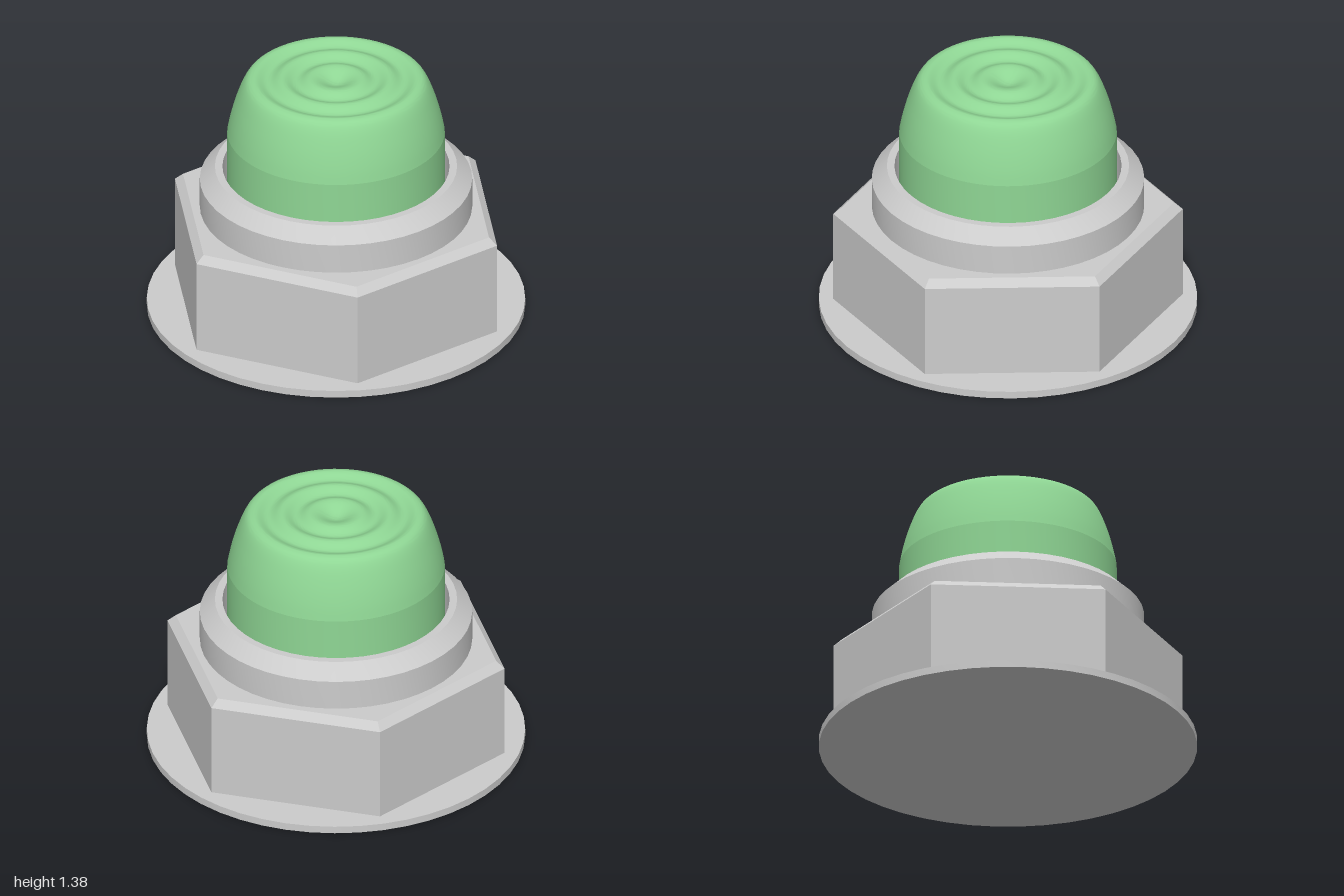
import * as THREE from 'three';
import { toCreasedNormals } from 'three/addons/utils/BufferGeometryUtils.js';

const metal = new THREE.MeshStandardMaterial({ color: 0xcccccc });
const green = new THREE.MeshStandardMaterial({ color: 0x8fd694 });

// Revolve a bottom-to-top [radius, y] profile, keeping hard edges sharp
function turned(name, profile, material, segments = 48) {
  const points = profile.map(([r, y]) => new THREE.Vector2(r, y));
  const geometry = toCreasedNormals(new THREE.LatheGeometry(points, segments), 0.6);
  const mesh = new THREE.Mesh(geometry, material);
  mesh.name = name;
  return mesh;
}

// Six-sided prism with corners on the x axis
function hexPrism(name, top, bottom, y0, y1) {
  const geometry = toCreasedNormals(
    new THREE.CylinderGeometry(top, bottom, y1 - y0, 6, 1, false, Math.PI / 2), 0.1);
  const mesh = new THREE.Mesh(geometry, metal);
  mesh.position.y = (y0 + y1) / 2;
  mesh.name = name;
  return mesh;
}

export function createModel() {
  const model = new THREE.Group();
  model.name = 'capNut';

  // Thin round washer
  model.add(turned('washer', [[0, 0], [1, 0], [1, 0.04], [0, 0.04]], metal));

  // Hexagonal body with a chamfered upper edge
  const R = 0.8 / Math.cos(Math.PI / 6);
  const r = 0.76 / Math.cos(Math.PI / 6);
  model.add(hexPrism('hexBody', R, R, 0.04, 0.56));
  model.add(hexPrism('hexChamfer', r, R, 0.56, 0.6));

  // Chamfered collar, open in the middle around the button
  model.add(turned('collar', [
    [0.72, 0.6], [0.72, 0.765], [0.64, 0.84], [0.6, 0.84], [0.6, 0.601], [0.5, 0.601],
  ], metal));

  // Straight lower part of the button
  model.add(turned('buttonSide', [[0.575, 0.6], [0.575, 1.05]], green, 64));

  // Rounded shoulder of the button
  const shoulder = new THREE.SplineCurve([
    [0.575, 1.05], [0.56, 1.125], [0.537, 1.21], [0.507, 1.295],
    [0.482, 1.345], [0.46, 1.367], [0.435, 1.375],
  ].map(([x, y]) => new THREE.Vector2(x, y)));
  const crown = shoulder.getPoints(24).map((p) => [p.x, p.y]);

  // Rippled top face with a dimple in the centre
  const amplitude = 0.013, period = 0.15, steps = 60;
  for (let i = 1; i <= steps; i++) {
    const radius = 0.435 * (1 - i / steps);
    const wave = Math.cos(((radius - 0.135) / period) * Math.PI * 2);
    const lift = 0.003 * Math.min(1, (0.435 - radius) / 0.15);
    const y = radius < 0.135
      ? 1.378 - 0.02 * (1 + Math.cos((radius / 0.135) * Math.PI))
      : 1.375 + lift + amplitude * (wave - 1);
    crown.push([radius, y]);
  }
  model.add(turned('buttonCrown', crown, green, 64));

  return model;
}
